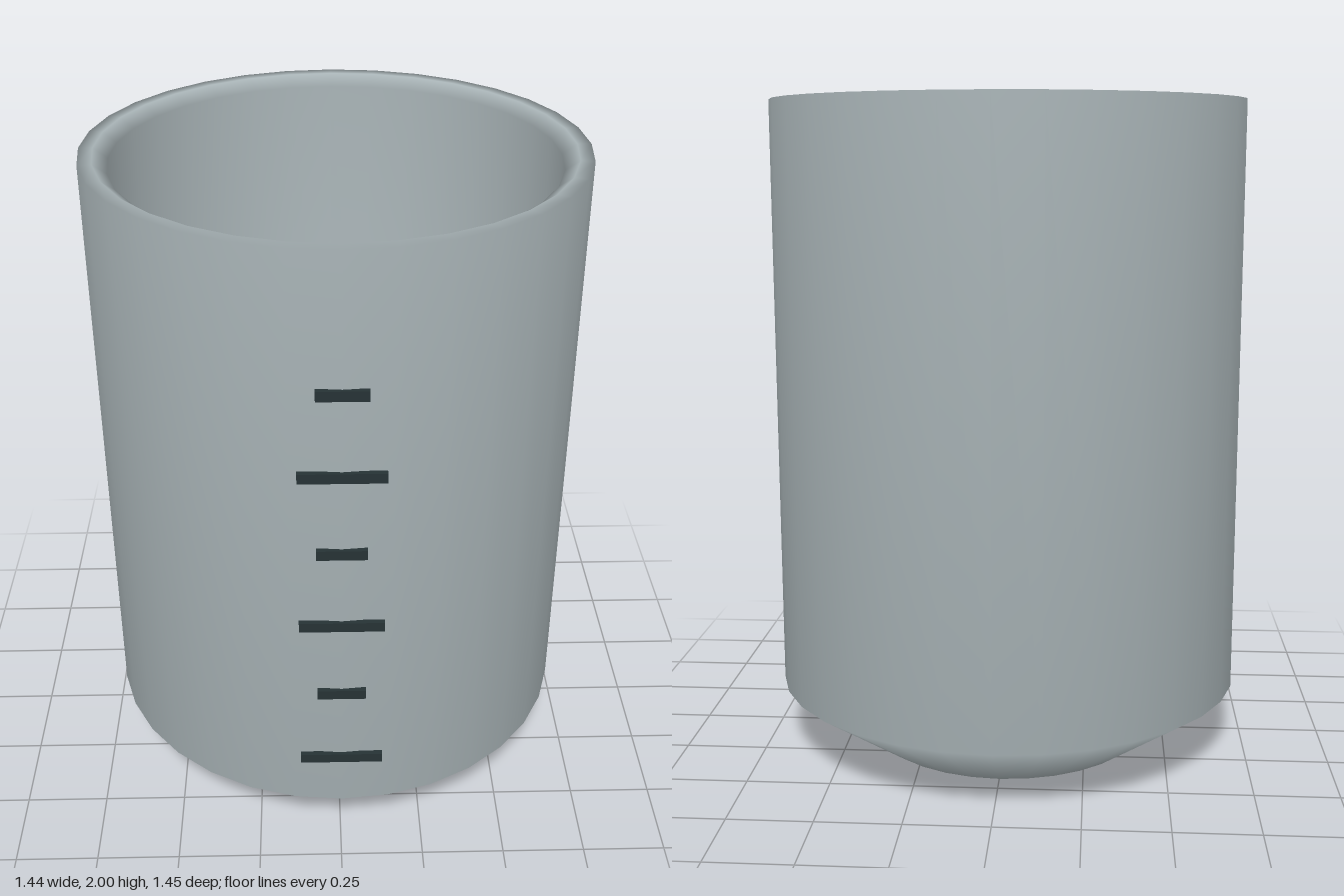
import * as THREE from 'three';

export function createModel() {
  const group = new THREE.Group();
  const grey = new THREE.MeshStandardMaterial({ name: 'cup grey', color: 0xa8b3b6 });
  const dark = new THREE.MeshStandardMaterial({ name: 'mark dark', color: 0x263235 });

  // Hollow cup: tapered base, straight wall, bevelled rim, inner wall and floor
  const profile = [
    [0, 0], [0.43, 0], [0.72, 0.2], [0.72, 2], [0.68, 2],
    [0.64, 1.97], [0.64, 0.24], [0.38, 0.06], [0, 0.06],
  ].map(([r, y]) => new THREE.Vector2(r, y));
  const cup = new THREE.Mesh(new THREE.LatheGeometry(profile, 32), grey);
  cup.name = 'cup';
  cup.position.z = -0.005;
  group.add(cup);

  // Measuring marks up the front, alternately long and short
  const marks = new THREE.Group();
  marks.name = 'measuringMarks';
  for (let i = 0; i < 6; i++) {
    const mark = new THREE.Mesh(new THREE.BoxGeometry(i % 2 ? 0.14 : 0.24, 0.03, 0.016), dark);
    mark.name = i % 2 ? 'shortMark' : 'longMark';
    mark.position.set(0, 0.375 + i * 0.246, 0.717);
    marks.add(mark);
  }
  group.add(marks);
  return group;
}
